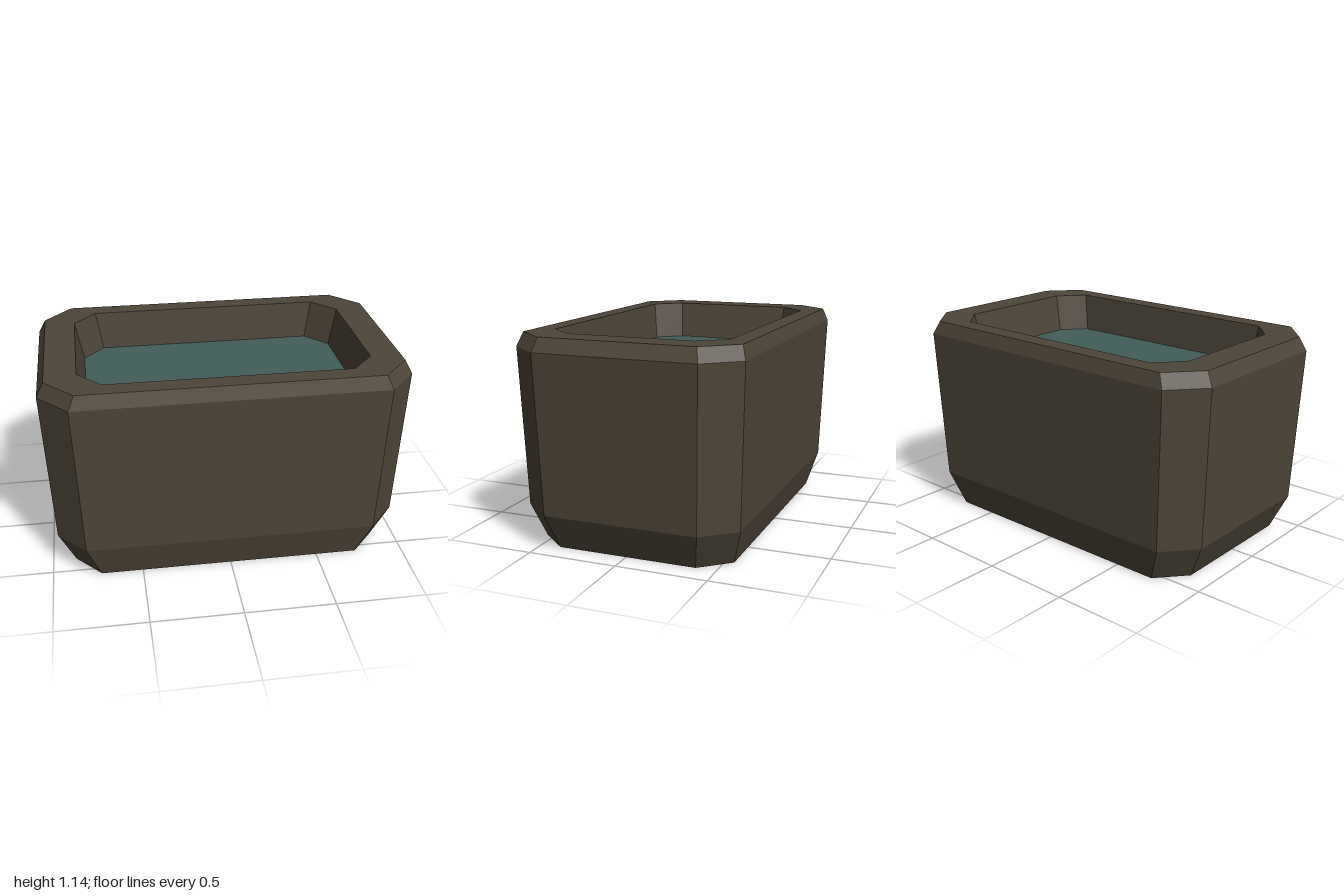
import * as THREE from 'three';

// Chamfered rectangle shared by every level; only its scale changes
const OCTAGON = [
  [0.84, 0.63], [1, 0.447], [1, -0.447], [0.84, -0.63],
  [-0.84, -0.63], [-1, -0.447], [-1, 0.447], [-0.84, 0.63],
];

// Flat-sided skin through a list of [scale, y] levels
function loft(levels) {
  const positions = [];
  const point = (level, i) => {
    const [x, z] = OCTAGON[i % 8];
    return [x * level[0], level[1], z * level[0]];
  };
  for (let k = 0; k < levels.length - 1; k++) {
    for (let i = 0; i < 8; i++) {
      const a = point(levels[k], i), b = point(levels[k], i + 1);
      const c = point(levels[k + 1], i + 1), d = point(levels[k + 1], i);
      positions.push(...a, ...b, ...c, ...a, ...c, ...d);
    }
  }
  const geometry = new THREE.BufferGeometry();
  geometry.setAttribute('position', new THREE.Float32BufferAttribute(positions, 3));
  geometry.computeVertexNormals();
  return geometry;
}

export function createModel() {
  const stone = new THREE.MeshStandardMaterial({ color: 0x4d4538, side: THREE.DoubleSide, flatShading: true });
  stone.name = 'stone';
  const waterColor = new THREE.MeshStandardMaterial({ color: 0x425d59, side: THREE.DoubleSide, flatShading: true });
  waterColor.name = 'water';

  const group = new THREE.Group();
  group.name = 'waterTrough';
  const add = (name, geometry, material) => {
    const mesh = new THREE.Mesh(geometry, material);
    mesh.name = name;
    group.add(mesh);
    return mesh;
  };

  // Outer shell, open underneath: tapered foot, flaring wall, bevelled lip
  add('outerWall', loft([[0.87, 0], [0.96, 0.2], [1, 1.07], [0.96, 1.145]]), stone);
  // Flat top rim
  add('rim', loft([[0.96, 1.145], [0.79, 1.145]]), stone);
  // Basin wall, running on below the water line
  add('basinWall', loft([[0.79, 1.145], [0.745, 0.93], [0.685, 0.635]]), stone);

  // Water surface
  const outline = new THREE.Shape(OCTAGON.map(([x, z]) => new THREE.Vector2(x * 0.745, z * 0.745)));
  const water = add('waterSurface', new THREE.ShapeGeometry(outline), waterColor);
  water.rotation.x = -Math.PI / 2;
  water.position.y = 0.93;

  return group;
}
